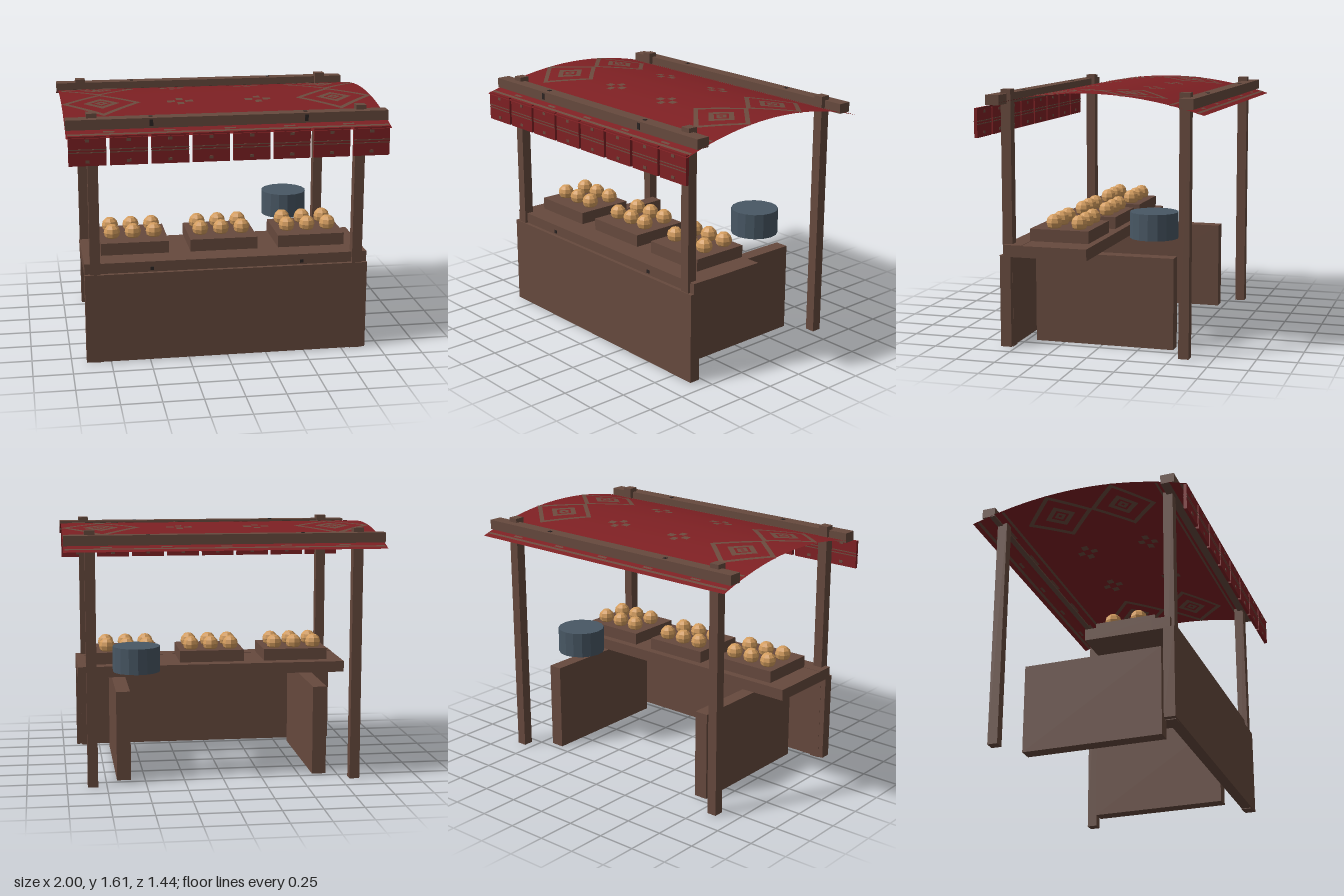
import * as THREE from 'three';

const paint = (name, color, extra = {}) => {
  const m = new THREE.MeshStandardMaterial({ color, ...extra });
  m.name = name;
  return m;
};

export function createModel() {
  const wood = paint('brown wood', 0x66493d);
  const cloth = paint('red cloth', 0x7e2023, { side: THREE.DoubleSide });
  const pattern = paint('woven pattern', 0x6b4b3e, { side: THREE.DoubleSide });
  const bread = paint('golden crust', 0xd39c5e, { flatShading: true });
  const metal = paint('slate metal', 0x485764, { flatShading: true });
  const dark = paint('dark nail', 0x2b2423);

  const model = new THREE.Group();
  model.name = 'marketStall';

  const add = (name, geometry, material, parent = model) => {
    const mesh = new THREE.Mesh(geometry, material);
    mesh.name = name;
    parent.add(mesh);
    return mesh;
  };
  // Box given by its limits on each axis
  const box = (name, [x0, x1], [y0, y1], [z0, z1], material = wood, parent = model) => {
    const mesh = add(name, new THREE.BoxGeometry(x1 - x0, y1 - y0, z1 - z0), material, parent);
    mesh.position.set((x0 + x1) / 2, (y0 + y1) / 2, (z0 + z1) / 2);
    return mesh;
  };
  const group = (name) => {
    const g = new THREE.Group();
    g.name = name;
    model.add(g);
    return g;
  };

  // Counter
  box('frontPanel', [-0.905, 0.905], [0.005, 0.585], [0.525, 0.595]);
  box('counterTop', [-0.905, 0.905], [0.577, 0.65], [0.03, 0.455]);
  box('counterTrim', [-0.905, 0.905], [0.577, 0.652], [0.455, 0.57]);
  for (const s of [-1, 1]) {
    box('sidePanel', [s * 0.635 - 0.045, s * 0.635 + 0.045], [0, 0.577], [-0.46, 0.44]);
  }

  // Posts and roof beams
  for (const s of [-1, 1]) {
    box('frontPost', [s * 0.838 - 0.032, s * 0.838 + 0.032], [0, 1.612], [0.524, 0.588]);
    box('backPost', [s * 0.838 - 0.032, s * 0.838 + 0.032], [0, 1.612], [-0.606, -0.541]);
  }
  box('frontBeam', [-0.998, 0.998], [1.523, 1.585], [0.55, 0.638]);
  box('backBeam', [-0.998, 0.998], [1.523, 1.585], [-0.656, -0.57]);

  // Nails on the beams and the trim
  for (const s of [-1, 1]) {
    const x = [s * 0.48 - 0.011, s * 0.48 + 0.011];
    box('beamNail', x, [1.535, 1.575], [0.637, 0.641], dark);
    box('beamTopNail', x, [1.584, 1.588], [0.578, 0.6], dark);
    box('beamTopNail', x, [1.584, 1.588], [-0.632, -0.61], dark);
    box('trimNail', x, [0.595, 0.617], [0.569, 0.573], dark);
  }

  // Arched canopy: flat geometry bent over the depth of the stall
  const roofY = (z) => 1.49 + 0.115 * (1 - (z / 0.72) ** 2);
  const bend = (geometry, lift = 0) => {
    const p = geometry.attributes.position;
    for (let i = 0; i < p.count; i++) p.setY(i, roofY(p.getZ(i)) + lift);
    geometry.computeVertexNormals();
    return geometry;
  };
  const canopy = group('canopy');
  add('canopyCloth', bend(new THREE.PlaneGeometry(2, 1.44, 1, 32).rotateX(-Math.PI / 2)), cloth, canopy);

  // Woven decoration laid on both faces of the cloth
  const lifts = [0.003, -0.003];
  const patch = (name, x, z, w, d) => {
    for (const lift of lifts) {
      const g = new THREE.PlaneGeometry(w, d, 1, 2).rotateX(-Math.PI / 2).translate(x, 0, z);
      add(name, bend(g, lift), pattern, canopy);
    }
  };
  const diamond = (x, z, inner, outer) => {
    for (const lift of lifts) {
      const g = new THREE.RingGeometry(inner, outer, 32, 1).rotateX(-Math.PI / 2);
      const p = g.attributes.position;
      for (let i = 0; i < p.count; i++) {
        const a = p.getX(i), b = p.getZ(i);
        const k = Math.hypot(a, b) / (Math.abs(a) + Math.abs(b));
        p.setX(i, x + a * k * 0.25);
        p.setZ(i, z + b * k * 0.225);
      }
      add('diamondBand', bend(g, lift), pattern, canopy);
    }
  };
  for (const sz of [-1, 1]) {
    patch('clothStripe', 0, sz * 0.518, 1.98, 0.016);
    patch('clothStripe', 0, sz * 0.682, 1.98, 0.018);
    for (const x of [-0.74, -0.37, 0, 0.37, 0.74]) {
      patch('edgeMark', x, sz * 0.655, 0.07, 0.016);
      patch('edgeMark', x, sz * 0.563, 0.14, 0.016);
    }
    for (const sx of [-1, 1]) {
      const z = sz * 0.217;
      for (const [inner, outer] of [[0.83, 1], [0.27, 0.46], [0.06, 0.18]]) {
        diamond(sx * 0.75, z, inner, outer);
      }
      for (const s of [-1, 1]) {
        patch('petal', sx * 0.25 + s * 0.058, z, 0.05, 0.042);
        patch('petal', sx * 0.25, z + s * 0.045, 0.042, 0.042);
      }
    }
  }

  // Hanging valance flags
  const valance = group('valance');
  for (let i = 0; i < 8; i++) {
    const x = -0.875 + i * 0.25;
    box('valanceFlag', [x - 0.114, x + 0.114], [1.32, 1.502], [0.695, 0.715], cloth, valance);
    for (const z of [[0.715, 0.717], [0.693, 0.695]]) {
      for (const y of [1.402, 1.42]) {
        box('flagStripe', [x - 0.114, x + 0.114], [y - 0.003, y + 0.003], z, pattern, valance);
      }
      for (const y of [1.347, 1.475]) {
        box('flagMark', [x - 0.013, x + 0.013], [y - 0.009, y + 0.009], z, pattern, valance);
      }
    }
  }

  // Trays, each with two rows of three buns
  const bunShape = new THREE.SphereGeometry(0.053, 8, 6);
  for (const x of [-0.573, 0, 0.57]) {
    const tray = group('breadTray');
    box('tray', [x - 0.217, x + 0.217], [0.662, 0.74], [0.055, 0.438], wood, tray);
    for (const dx of [-0.135, 0, 0.135]) {
      for (const z of [0.14, 0.305]) {
        add('bun', bunShape, bread, tray).position.set(x + dx, 0.775, z);
      }
    }
  }

  // Metal pot
  add('pot', new THREE.CylinderGeometry(0.153, 0.153, 0.165, 16), metal).position.set(0.537, 0.762, -0.298);

  return model;
}
